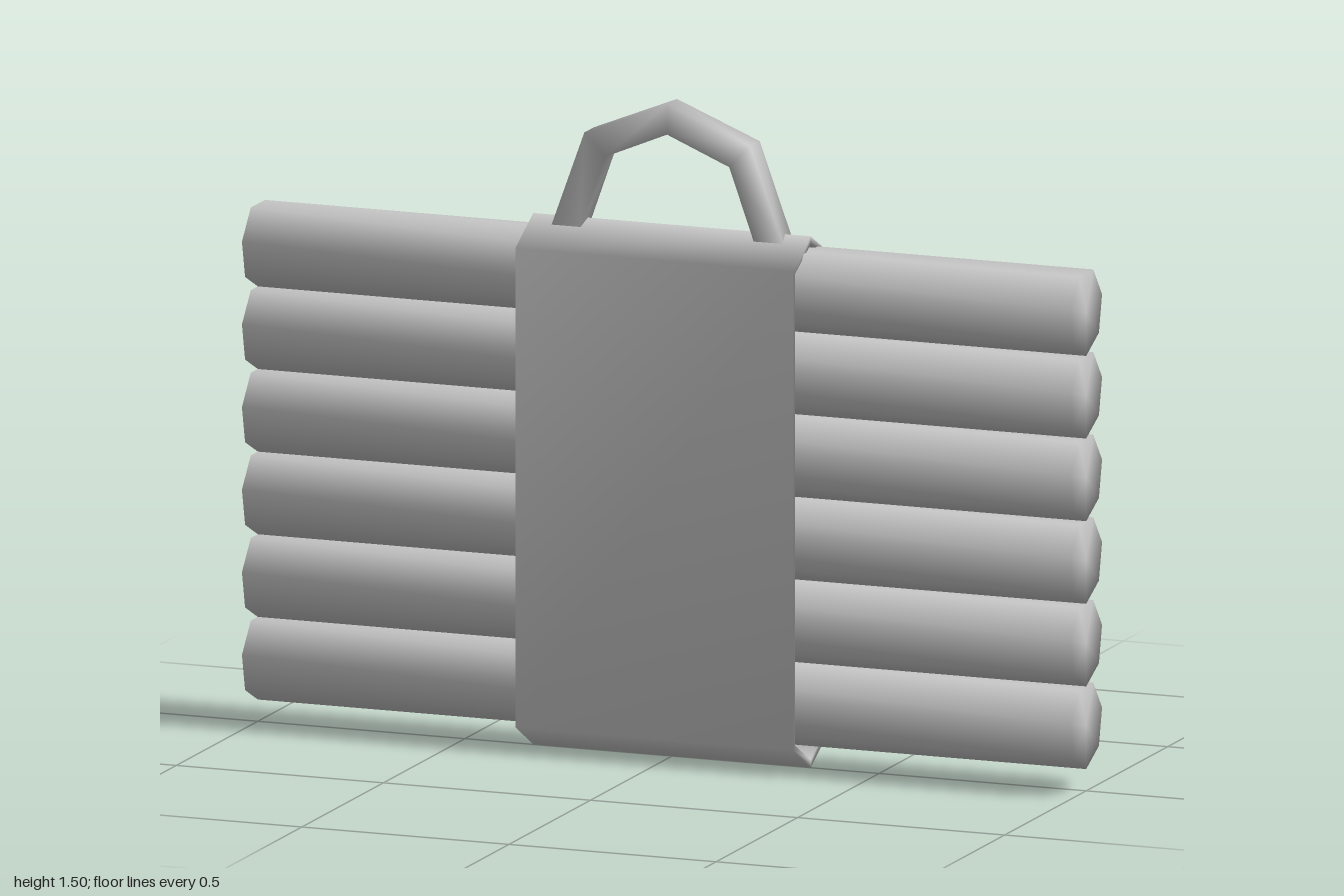
import * as THREE from 'three';
import { mergeVertices } from 'three/addons/utils/BufferGeometryUtils.js';

// Weld all corners so that normals are shared and shading runs across edges
function softened(geometry) {
  geometry.deleteAttribute('normal');
  geometry.deleteAttribute('uv');
  const welded = mergeVertices(geometry, 1e-4);
  welded.computeVertexNormals();
  return welded;
}

// Extrude a shape, centred along its depth
function slab(shape, depth) {
  const geometry = new THREE.ExtrudeGeometry(shape, { depth, bevelEnabled: false });
  return geometry.translate(0, 0, -depth / 2);
}

const outline = (Type, points) => new Type(points.map(([x, y]) => new THREE.Vector2(x, y)));

// Pointed hexagon standing upright
const hexagon = (half, bottom, lowCorner, highCorner, top) => [
  [0, bottom], [half, lowCorner], [half, highCorner],
  [0, top], [-half, highCorner], [-half, lowCorner],
];

export function createModel() {
  const model = new THREE.Group();
  const material = new THREE.MeshStandardMaterial({ color: 0xcccccc });
  const add = (name, geometry, y = 0) => {
    const mesh = new THREE.Mesh(softened(geometry), material);
    mesh.name = name;
    mesh.position.y = y;
    model.add(mesh);
  };

  // Stack of seven-sided logs, each with an edge pointing down
  for (let i = 0; i < 6; i++) {
    const log = new THREE.CylinderGeometry(0.1, 0.1, 2, 7, 1, false, -Math.PI / 2);
    add('log' + (i + 1), log.rotateZ(Math.PI / 2), 0.15 + i * 0.19);
  }

  // Hollow band wrapped around the stack
  const band = outline(THREE.Shape, hexagon(0.11, 0, 0.062, 1.163, 1.222));
  band.holes.push(outline(THREE.Path, hexagon(0.096, 0.018, 0.07, 1.155, 1.204)));
  add('carrierBand', slab(band, 0.67).rotateY(Math.PI / 2));

  // Angular carrying handle, mirrored from its right half
  const outer = [[0.28, 1.203], [0.2, 1.424], [0, 1.505]];
  const inner = [[0.21, 1.203], [0.15, 1.372], [0, 1.435]];
  const mirror = (half) => half.slice(0, -1).reverse().map(([x, y]) => [-x, y]);
  const arch = [...outer, ...mirror(outer), ...[...inner, ...mirror(inner)].reverse()];
  add('handle', slab(outline(THREE.Shape, arch), 0.06));

  return model;
}
